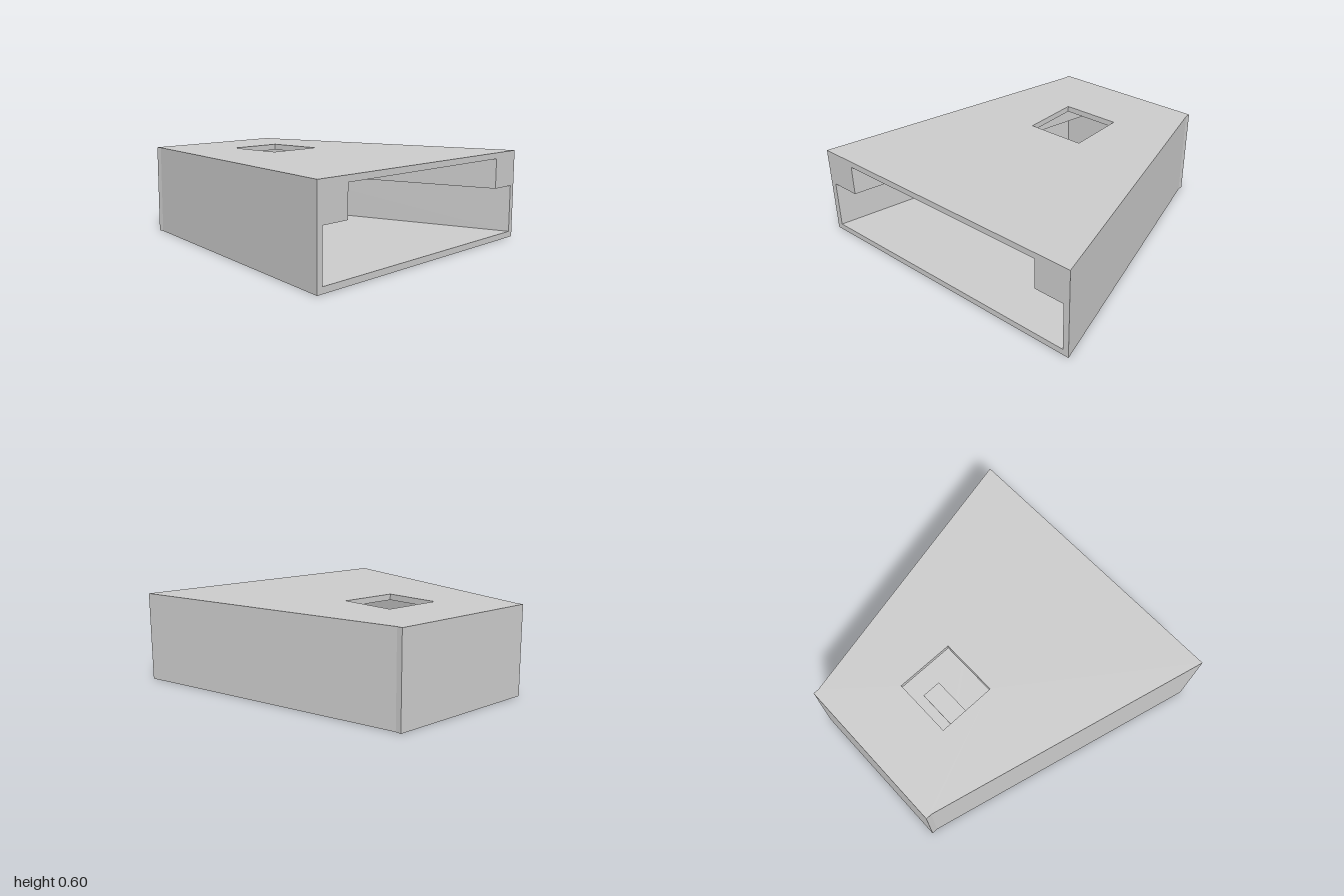
import * as THREE from 'three';

const material = new THREE.MeshStandardMaterial({ color: 0xcccccc });
const FRONT = 0.98, BACK = -0.98, INNER_BACK = -0.94, TAPER = 0.46;

// Plan points are [x, z]; each layer is a plan raised from y0 to y1
const toVectors = (points) => points.map(([x, z]) => new THREE.Vector2(x, z));

function layer(name, outline, y0, y1, hole) {
  const shape = new THREE.Shape(toVectors(outline));
  if (hole) shape.holes.push(new THREE.Path(toVectors(hole)));
  const geometry = new THREE.ExtrudeGeometry(shape, { depth: y1 - y0, bevelEnabled: false });
  geometry.rotateX(-Math.PI / 2).translate(0, y0, 0);
  const mesh = new THREE.Mesh(geometry, material);
  mesh.name = name;
  return mesh;
}

function box(name, size, position) {
  const mesh = new THREE.Mesh(new THREE.BoxGeometry(...size), material);
  mesh.name = name;
  mesh.position.set(...position);
  return mesh;
}

// Trapezoid with a short straight end behind the inner back wall
const footprint = [
  [FRONT, 1], [INNER_BACK, 1 - TAPER], [BACK, 1 - TAPER],
  [BACK, TAPER - 1], [INNER_BACK, TAPER - 1], [FRONT, -1],
];

// Wall plan: the footprint with a tapered room cut in from the open end
const wallPlan = (halfWidth) => [
  ...footprint,
  [FRONT, -halfWidth], [INNER_BACK, TAPER - halfWidth],
  [INNER_BACK, halfWidth - TAPER], [FRONT, halfWidth],
];

function createTable() {
  const table = new THREE.Group();
  table.name = 'table';
  table.add(box('tableTop', [0.14, 0.008, 0.36], [0, 0.169, 0]));
  table.add(box('tableApron', [0.11, 0.01, 0.3], [0, 0.16, 0]));
  for (const sx of [-1, 1]) {
    for (const sz of [-1, 1]) {
      table.add(box('tableLeg', [0.015, 0.115, 0.015], [sx * 0.04, 0.0975, sz * 0.13]));
    }
  }
  table.position.x = -0.34;
  return table;
}

export function createModel() {
  const model = new THREE.Group();
  model.name = 'taperedRoom';

  // Shell: floor, wide lower walls, thicker upper walls, roof with skylight
  const skylight = [[-0.54, -0.2], [-0.14, -0.2], [-0.14, 0.2], [-0.54, 0.2]];
  model.add(layer('floor', footprint, 0, 0.04));
  model.add(layer('lowerWalls', wallPlan(0.96), 0.04, 0.36));
  model.add(layer('upperWalls', wallPlan(0.76), 0.36, 0.56));
  model.add(layer('roof', footprint, 0.56, 0.6, skylight));

  model.add(createTable());
  return model;
}
